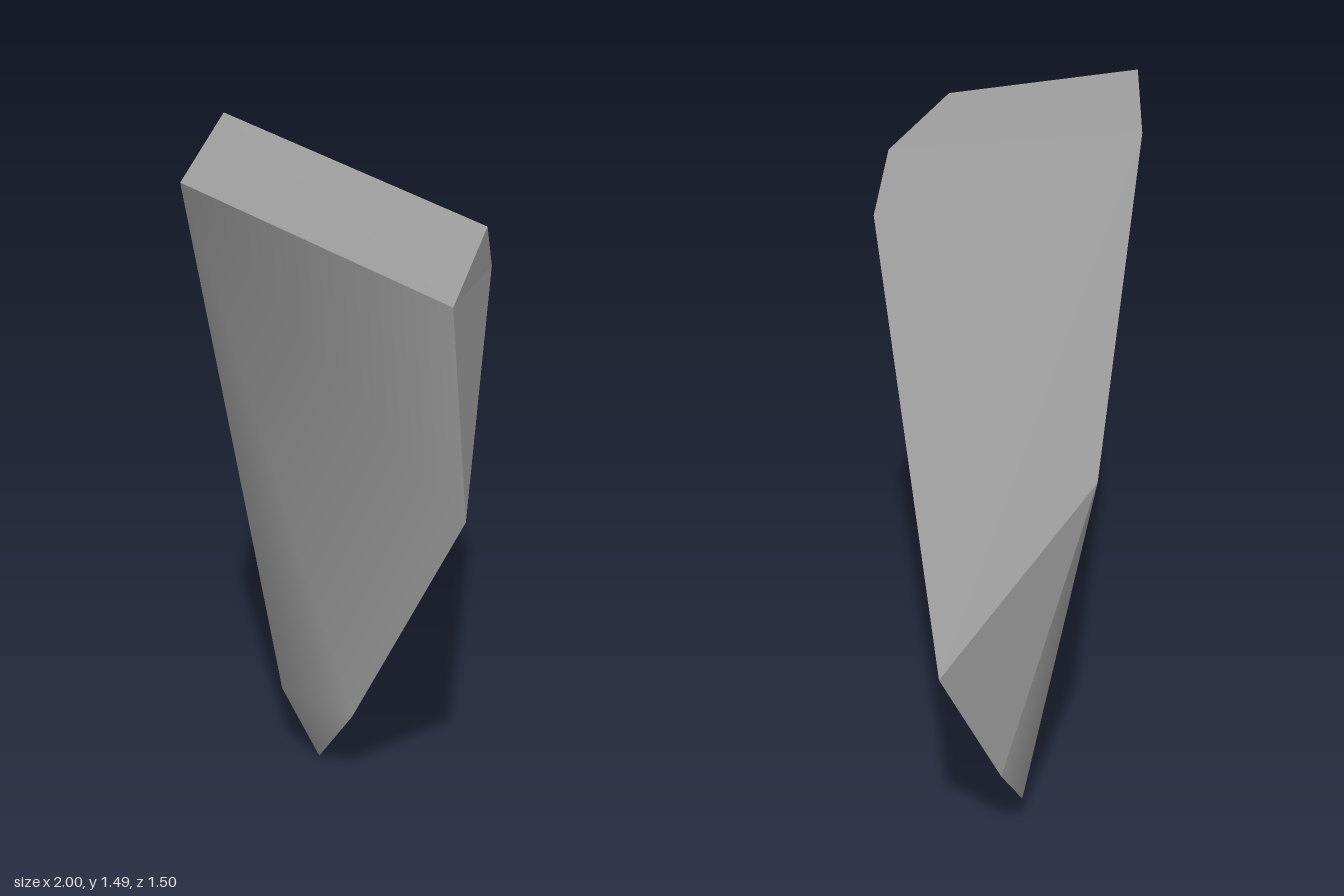
import * as THREE from 'three';

// Corners of the stone, named by position
const corners = {
  topLeft: [-0.43, 1.49, 0.175], topFront: [0.29, 1.48, 0.75],
  topRight: [1, 1.32, 0.565], topBack: [0.45, 1.31, 0],
  shoulder: [0.32, 1.17, -0.13], sideRight: [0.97, 0.84, 0.497],
  lowRight: [0.56, 0.21, 0.49], lowFront: [0.34, 0.21, 0.54],
  foot: [0.36, 0, 0.445], heel: [-0.84, 0.09, -0.46],
  lowLeft: [-0.89, 0.21, -0.555], sideLeft: [-1, 0.92, -0.39],
  backTip: [-0.94, 0.54, -0.75],
};
const centre = new THREE.Vector3(0, 0.8, 0);

// Builds polygons as triangle fans facing away from the centre
function facets(polygons, smooth) {
  const names = Object.keys(corners);
  const index = [];
  for (const polygon of polygons) {
    const p = polygon.map((n) => new THREE.Vector3(...corners[n]));
    for (let i = 1; i < p.length - 1; i++) {
      const normal = p[i].clone().sub(p[0]).cross(p[i + 1].clone().sub(p[0]));
      const outward = normal.dot(p[0].clone().sub(centre)) > 0;
      const tri = outward ? [0, i, i + 1] : [0, i + 1, i];
      index.push(...tri.map((k) => names.indexOf(polygon[k])));
    }
  }
  let geometry = new THREE.BufferGeometry();
  geometry.setAttribute('position', new THREE.Float32BufferAttribute(Object.values(corners).flat(), 3));
  geometry.setIndex(index);
  if (!smooth) geometry = geometry.toNonIndexed();
  geometry.computeVertexNormals();
  return geometry;
}

export function createModel() {
  const stone = new THREE.MeshStandardMaterial({ color: 0xa0a0a0 });
  stone.name = 'grey stone';
  const group = new THREE.Group();
  group.name = 'rock';
  const add = (name, polygons, smooth = false) => {
    const mesh = new THREE.Mesh(facets(polygons, smooth), stone);
    mesh.name = name;
    group.add(mesh);
  };

  // Softly shaded front and narrow left end
  add('wornFront', [
    ['topFront', 'topLeft', 'sideLeft'],
    ['sideLeft', 'lowFront', 'topFront'],
    ['sideLeft', 'heel', 'lowFront'],
    ['sideLeft', 'lowLeft', 'heel'],
    ['heel', 'foot', 'lowFront'],
    ['topFront', 'lowFront', 'lowRight', 'sideRight', 'topRight'],
    ['lowFront', 'foot', 'lowRight'],
  ], true);
  add('leftEnd', [['sideLeft', 'backTip', 'lowLeft']]);

  // Flat broken faces
  add('topFace', [['topLeft', 'topFront', 'topRight', 'topBack']]);
  add('upperBackFace', [['topLeft', 'topBack', 'shoulder', 'backTip', 'sideLeft']]);
  add('rightBevel', [['topRight', 'sideRight', 'shoulder', 'topBack']]);
  add('largeBackFace', [['sideRight', 'lowRight', 'foot', 'heel', 'lowLeft', 'backTip', 'shoulder']]);
  return group;
}
